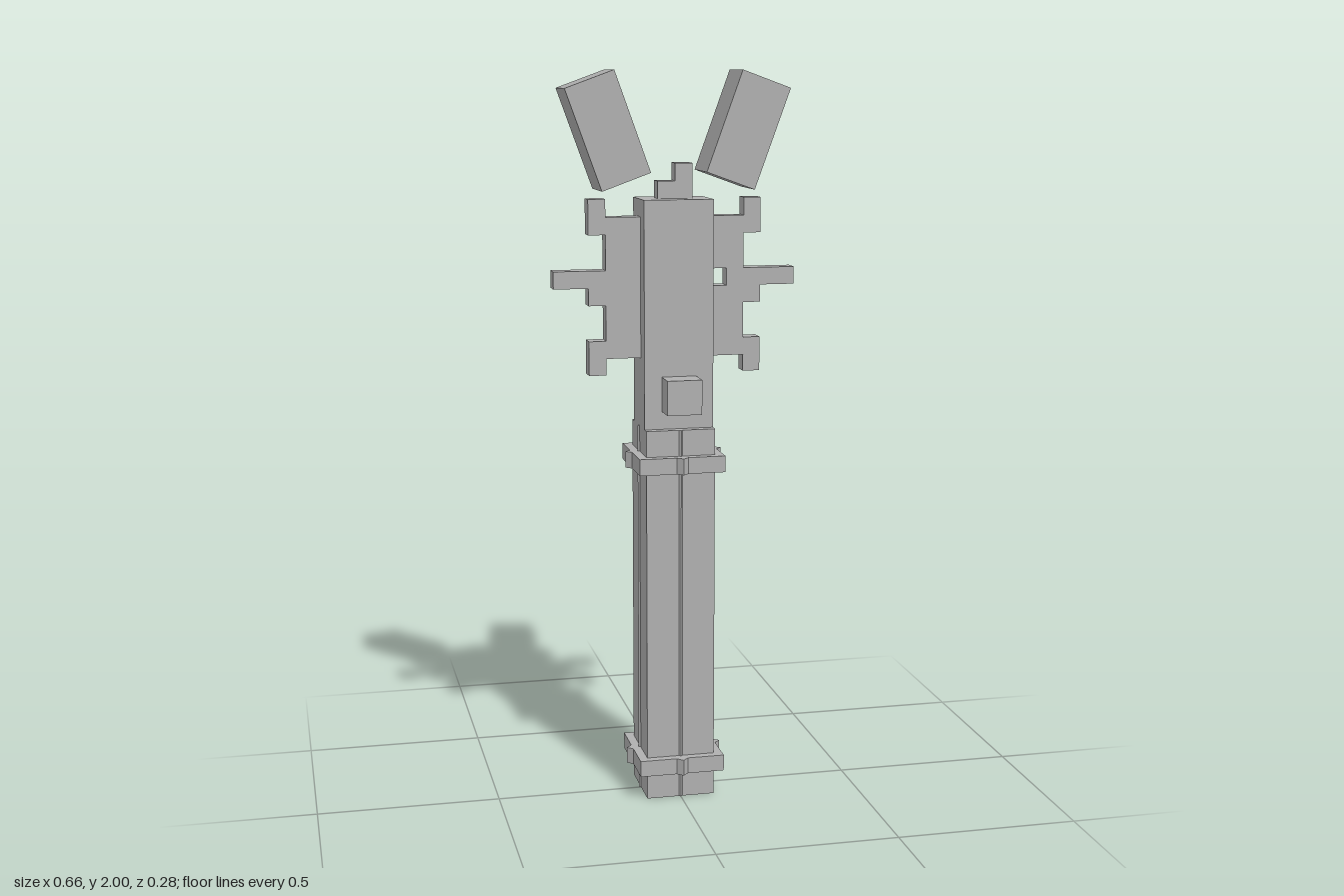
import * as THREE from 'three';

export function createModel() {
  const model = new THREE.Group();
  const body = new THREE.Group();
  body.position.z = -0.006;
  model.add(body);
  const gray = new THREE.MeshStandardMaterial({ color: 0xb0b0b0 });
  gray.name = 'gray';

  const add = (name, geometry, x, y, z, parent = body) => {
    const mesh = new THREE.Mesh(geometry, gray);
    mesh.name = name;
    mesh.position.set(x, y, z);
    parent.add(mesh);
    return mesh;
  };
  const box = (name, w, h, d, x, y, z, parent) =>
    add(name, new THREE.BoxGeometry(w, h, d), x, y, z, parent);

  // Slim diamond-section ridges centred on the four sides
  const ridges = (name, halfWidth, height, distance, y, parent) => {
    const side = halfWidth * Math.SQRT2;
    for (let i = 0; i < 4; i++) {
      const a = i * Math.PI / 2;
      const ridge = box(name, side, height, side, Math.sin(a) * distance, y, Math.cos(a) * distance, parent);
      ridge.rotation.y = Math.PI / 4;
    }
  };

  // Square handle with seams
  const handle = new THREE.Group();
  handle.name = 'handle';
  body.add(handle);
  box('grip', 0.19, 1.045, 0.19, 0, 0.5225, 0, handle);
  ridges('gripRidge', 0.005, 1.045, 0.095, 0.5225, handle);

  // Bands near both ends of the handle
  for (const y of [0.097, 0.951]) {
    const band = new THREE.Group();
    band.name = 'band';
    body.add(band);
    box('bandRing', 0.237, 0.045, 0.237, 0, y, 0, band);
    ridges('bandRidge', 0.016, 0.045, 0.1185, y, band);
  }

  // Upper block, button and stepped tip
  box('head', 0.19, 0.63, 0.143, 0, 1.347, 0);
  box('button', 0.095, 0.094, 0.072, 0, 1.141, 0.107);
  box('tipBase', 0.095, 0.048, 0.047, 0, 1.685, 0);
  box('tipTop', 0.047, 0.048, 0.047, 0.0235, 1.732, 0);

  // Pronged side plates: the left one has a square hole
  const outline = [
    [0.09, 1.235], [0.19, 1.235], [0.19, 1.19], [0.237, 1.19], [0.237, 1.283], [0.19, 1.283],
    [0.19, 1.379], [0.237, 1.379], [0.237, 1.426], [0.332, 1.426], [0.332, 1.473], [0.19, 1.473],
    [0.19, 1.568], [0.237, 1.568], [0.237, 1.663], [0.19, 1.663], [0.19, 1.615], [0.09, 1.615],
  ];
  const square = [[0.095, 1.426], [0.143, 1.426], [0.143, 1.473], [0.095, 1.473]];
  for (const side of [1, -1]) {
    const points = (list) => list.map(([x, y]) => new THREE.Vector2(x * side, y));
    const shape = new THREE.Shape(points(outline));
    if (side === 1) shape.holes.push(new THREE.Path(points(square)));
    const plate = new THREE.ExtrudeGeometry(shape, { depth: 0.047, bevelEnabled: false });
    add(side === 1 ? 'leftPlate' : 'rightPlate', plate, 0, 0, -0.0235);

    // Tilted block above each shoulder
    const flap = box(side === 1 ? 'leftFlap' : 'rightFlap', 0.14, 0.284, 0.143, side * 0.19, 1.843, 0);
    flap.rotation.z = -side * THREE.MathUtils.degToRad(20);
  }
  return model;
}
